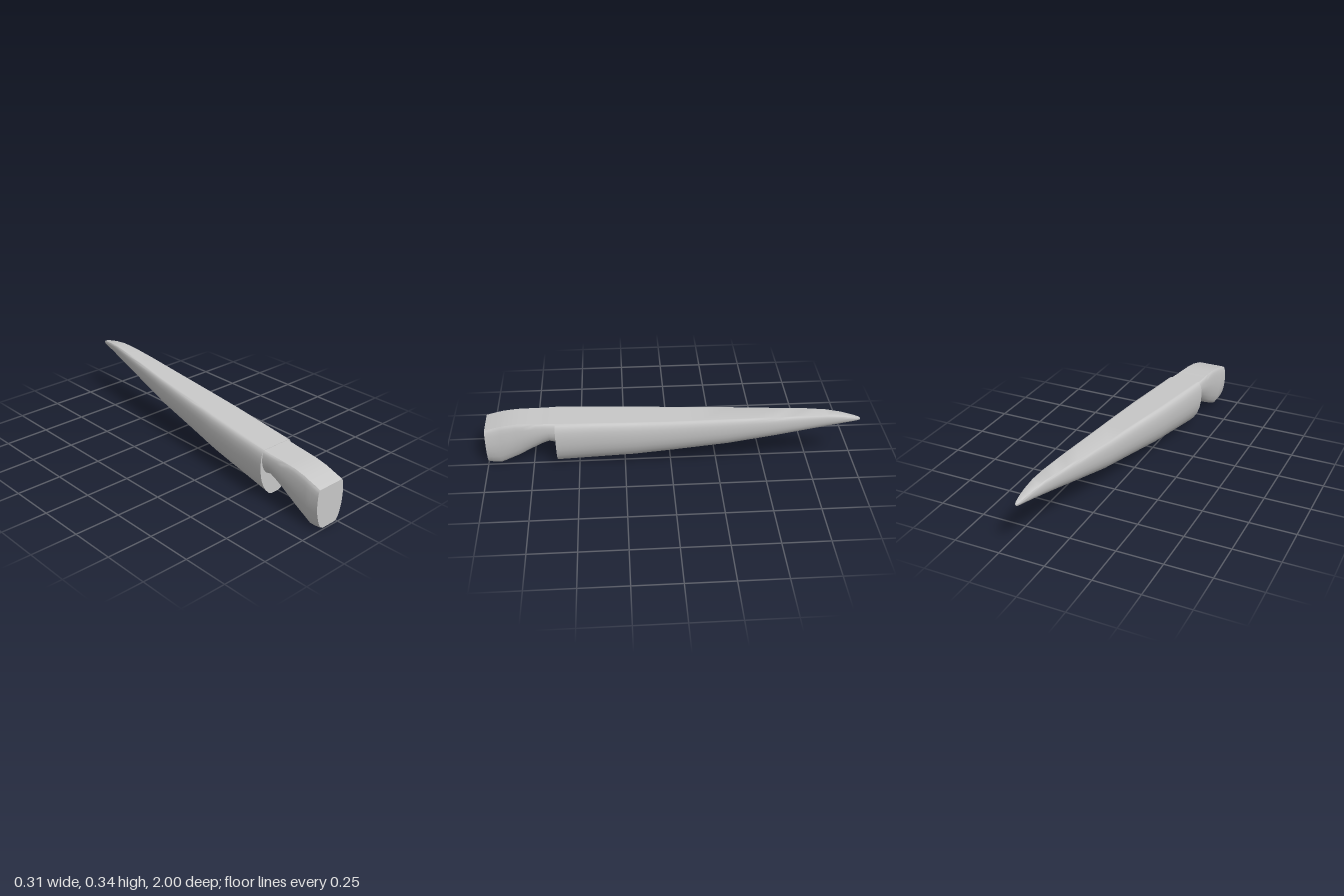
import * as THREE from 'three';
import { toCreasedNormals } from 'three/addons/utils/BufferGeometryUtils.js';

// Half outlines (u across, v up), bottom to top; mirrored into a closed section.
const BODY = [[0.2, 0], [0.4, 0.035], [0.6, 0.12], [0.79, 0.25], [0.92, 0.4], [0.98, 0.55], [1, 0.7], [0.985, 0.83], [0.94, 0.92], [0.87, 0.975], [0.79, 1], [0.7, 1]];
const GRIP = [[0.46, 0], [0.6, 0.03], [0.73, 0.1], [0.86, 0.24], [0.96, 0.42], [1, 0.62], [0.98, 0.82], [0.95, 0.92], [0.91, 0.97], [0.86, 1], [0.78, 1]];

// Stations are [z, xLeft, xRight, yBottom, yTop], from +z to -z.
function loft(half, stations, steps) {
  const outline = [...half, ...half.map(([u, v]) => [-u, v]).reverse()];
  const rows = [];
  stations.forEach((s, i) => {
    const n = stations[i + 1];
    for (let k = 0; k < (n ? steps : 1); k++) {
      rows.push(s.map((v, c) => (n ? v + ((n[c] - v) * k) / steps : v)));
    }
  });
  const rings = rows.map(([z, x0, x1, y0, y1]) => outline.map(([u, v]) =>
    [(x0 + x1) / 2 + (u * (x1 - x0)) / 2, y0 + v * (y1 - y0), z]));
  const pos = [];
  const n = outline.length;
  for (let i = 0; i < rings.length - 1; i++) {
    for (let j = 0; j < n; j++) {
      const k = (j + 1) % n;
      const a = rings[i][j], b = rings[i][k], c = rings[i + 1][k], d = rings[i + 1][j];
      pos.push(...a, ...d, ...c, ...a, ...c, ...b);
    }
  }
  // End caps
  const first = rings[0], last = rings[rings.length - 1];
  for (let j = 1; j < n - 1; j++) {
    pos.push(...first[0], ...first[j], ...first[j + 1]);
    pos.push(...last[0], ...last[j + 1], ...last[j]);
  }
  const geometry = new THREE.BufferGeometry();
  geometry.setAttribute('position', new THREE.Float32BufferAttribute(pos, 3));
  return toCreasedNormals(geometry, 0.65);
}

export function createModel() {
  const group = new THREE.Group();
  group.name = 'taperedTool';
  const grey = new THREE.MeshStandardMaterial({ color: 0xc8c8c8 });
  grey.name = 'lightGrey';

  // Long tapering shell ending in a rounded point
  const body = new THREE.Mesh(loft(BODY, [
    [0.62, -0.148, 0.073, 0.013, 0.281],
    [0.2, -0.095, 0.112, 0.063, 0.299],
    [0, -0.062, 0.125, 0.095, 0.307],
    [-0.3, -0.015, 0.14, 0.144, 0.321],
    [-0.55, 0.03, 0.152, 0.2, 0.333],
    [-0.72, 0.06, 0.156, 0.24, 0.341],
    [-0.82, 0.08, 0.155, 0.262, 0.342],
    [-0.9, 0.098, 0.151, 0.279, 0.334],
    [-0.96, 0.113, 0.146, 0.29, 0.322],
    [-0.99, 0.122, 0.141, 0.296, 0.314],
    [-1, 0.128, 0.137, 0.301, 0.309],
  ], 2), grey);
  body.name = 'taperedBody';

  // End block that narrows into a neck entering the shell
  const grip = new THREE.Mesh(loft(GRIP, [
    [1, -0.159, 0.024, 0.01, 0.23],
    [0.97, -0.157, 0.025, 0.003, 0.24],
    [0.93, -0.155, 0.027, 0.001, 0.251],
    [0.9, -0.152, 0.03, 0.015, 0.259],
    [0.83, -0.147, 0.034, 0.05, 0.27],
    [0.75, -0.143, 0.042, 0.1, 0.274],
    [0.69, -0.141, 0.048, 0.135, 0.276],
    [0.655, -0.14, 0.052, 0.15, 0.278],
    [0.6, -0.138, 0.056, 0.137, 0.28],
  ], 2), grey);
  grip.name = 'gripAndNeck';

  group.add(body, grip);
  return group;
}
